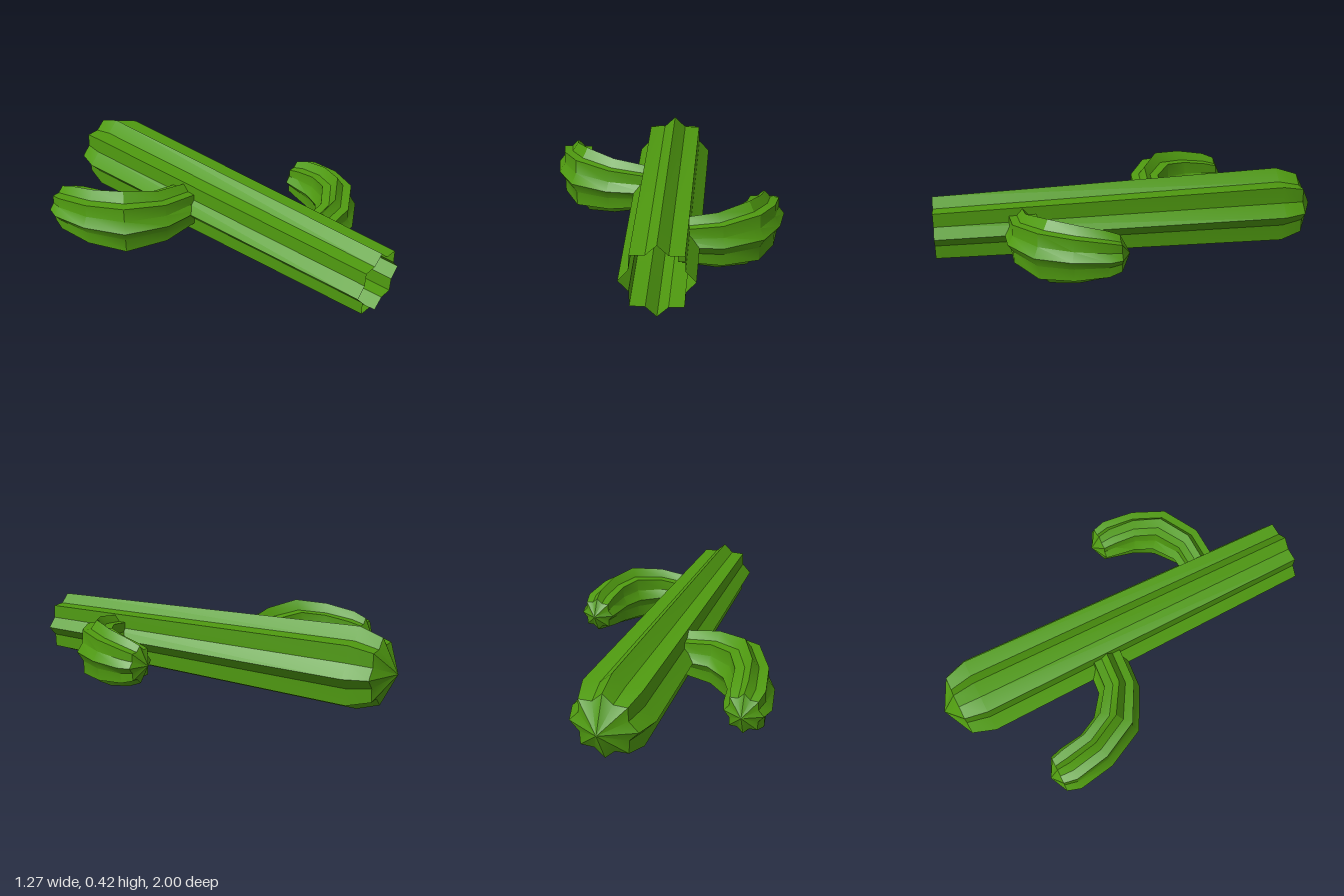
import * as THREE from 'three';
import { toCreasedNormals } from 'three/addons/utils/BufferGeometryUtils.js';

const RIBS = 8;        // pointed ribs around every stem
const VALLEY = 0.78;   // groove radius relative to the rib radius
const AXIS_Y = 0.21;   // height of all stem axes

// Lofts a ribbed, open-ended stem through star rings and closes it at a tip.
// Each ring is [ax, az, bx, bz, ry]: two opposite rib points and the vertical radius.
function ribbedStem(rings, tip) {
  const n = RIBS * 2;
  const pos = [];
  const index = [];
  for (const [ax, az, bx, bz, ry] of rings) {
    for (let j = 0; j < n; j++) {
      const t = (j / n) * Math.PI * 2;
      const k = j % 2 ? VALLEY : 1;
      const c = (Math.cos(t) * k) / 2;
      pos.push(
        (ax + bx) / 2 + (ax - bx) * c,
        AXIS_Y + ry * k * Math.sin(t),
        (az + bz) / 2 + (az - bz) * c
      );
    }
  }
  pos.push(tip[0], AXIS_Y, tip[1]);
  const tipIndex = rings.length * n;
  for (let i = 0; i < rings.length; i++) {
    for (let j = 0; j < n; j++) {
      const a = i * n + j;
      const b = i * n + ((j + 1) % n);
      if (i === rings.length - 1) index.push(a, b, tipIndex);
      else index.push(a, b, b + n, a, b + n, a + n);
    }
  }
  const geometry = new THREE.BufferGeometry();
  geometry.setAttribute('position', new THREE.Float32BufferAttribute(pos, 3));
  geometry.setIndex(index);
  // Smooth along the stem, sharp on ribs and grooves
  return toCreasedNormals(geometry, 0.55);
}

export function createModel() {
  const group = new THREE.Group();
  group.name = 'cactus';

  const green = new THREE.MeshStandardMaterial({ color: 0x4f9a10, side: THREE.DoubleSide });
  green.name = 'cactusGreen';

  const add = (name, rings, tip) => {
    const mesh = new THREE.Mesh(ribbedStem(rings, tip), green);
    mesh.name = name;
    group.add(mesh);
  };

  // Trunk lying along z, hollow at the cut end
  add('trunk', [
    [-0.13, 1, 0.205, 1, 0.167],
    [-0.17, -0.8, 0.245, -0.8, 0.208],
    [-0.13, -0.917, 0.205, -0.917, 0.168],
  ], [0.0375, -1]);

  // Upper arm, curving towards the trunk tip
  add('rightArm', [
    [-0.065, -0.025, -0.065, -0.235, 0.12],
    [-0.3, -0.045, -0.235, -0.25, 0.156],
    [-0.505, -0.155, -0.34, -0.33, 0.184],
    [-0.605, -0.357, -0.39, -0.43, 0.165],
    [-0.637, -0.547, -0.405, -0.547, 0.134],
    [-0.615, -0.615, -0.425, -0.615, 0.105],
  ], [-0.52, -0.66]);

  // Lower arm on the other side
  add('leftArm', [
    [0.113, 0.47, 0.113, 0.66, 0.112],
    [0.26, 0.46, 0.33, 0.65, 0.14],
    [0.367, 0.385, 0.515, 0.54, 0.164],
    [0.41, 0.295, 0.6, 0.37, 0.148],
    [0.425, 0.198, 0.632, 0.198, 0.12],
    [0.436, 0.135, 0.616, 0.135, 0.095],
  ], [0.527, 0.087]);

  return group;
}
